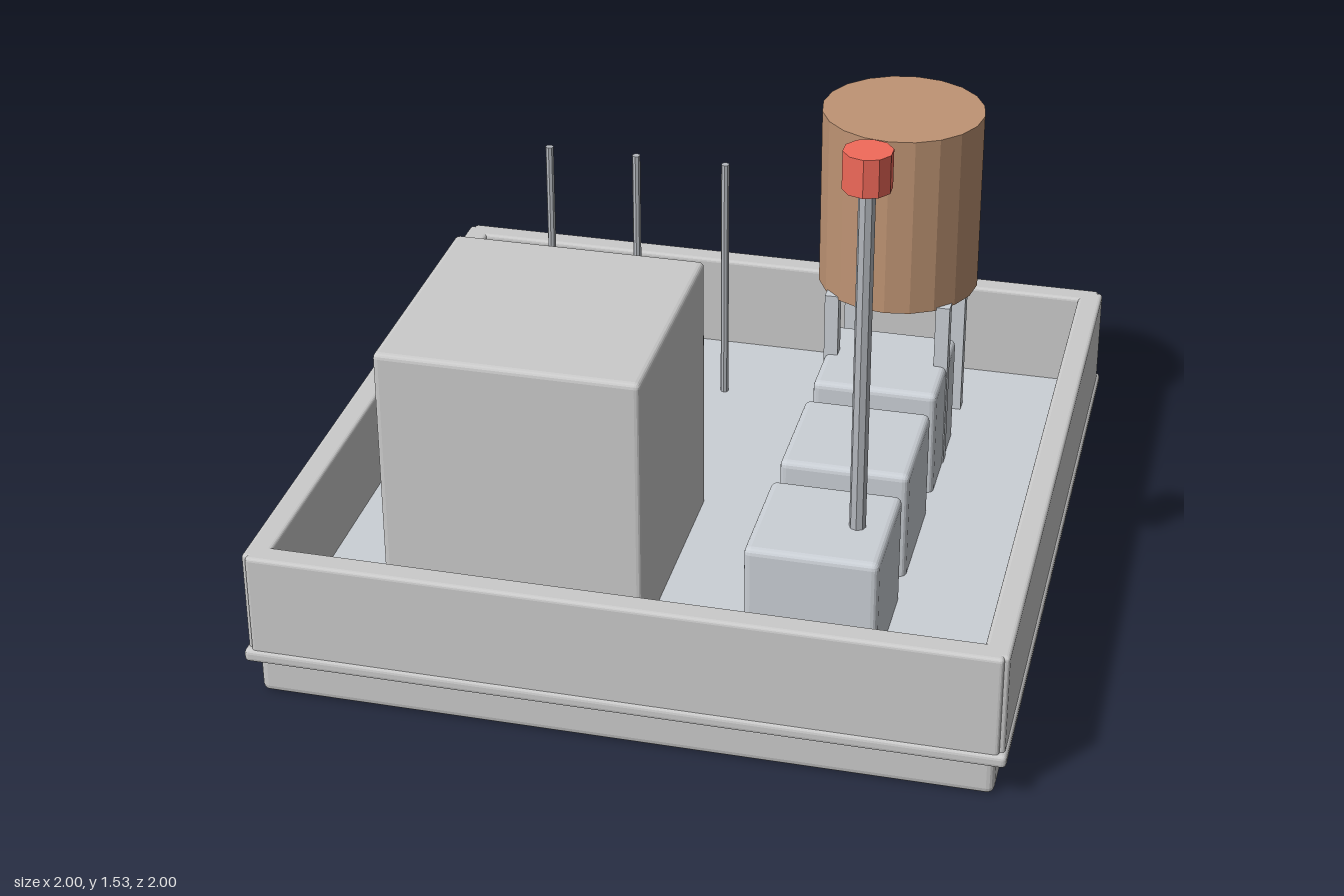
import * as THREE from 'three';
import { RoundedBoxGeometry } from 'three/addons/geometries/RoundedBoxGeometry.js';

const mat = (color) => new THREE.MeshStandardMaterial({ color, flatShading: true });
const grey = mat(0xcccccc), deckGrey = mat(0xcbd0d6), metal = mat(0xb4b8be);
const dark = mat(0x4e4e50), wood = mat(0xbf9474), red = mat(0xf26a5a);

export function createModel() {
  const model = new THREE.Group();
  const floorY = 0.145;

  const add = (name, geometry, material, x, y, z) => {
    const mesh = new THREE.Mesh(geometry, material);
    mesh.name = name;
    mesh.position.set(x, y, z);
    model.add(mesh);
  };
  // Boxes and cylinders are placed by their bottom and top heights
  const block = (name, w, d, y0, y1, x, z, material, bevel = 0) => {
    const h = y1 - y0;
    const geometry = bevel
      ? new RoundedBoxGeometry(w, h, d, 2, bevel)
      : new THREE.BoxGeometry(w, h, d);
    add(name, geometry, material, x, (y0 + y1) / 2, z);
  };
  const rod = (name, r, sides, y0, y1, x, z, material) =>
    add(name, new THREE.CylinderGeometry(r, r, y1 - y0, sides), material, x, (y0 + y1) / 2, z);

  // Roof slab, projecting trim and deck
  block('baseSlab', 1.94, 1.94, 0, 0.11, 0, 0, grey, 0.02);
  block('cornice', 2, 2, 0.108, 0.145, 0, 0, grey, 0.012);
  block('roofDeck', 1.86, 1.86, 0.12, floorY + 0.002, 0, 0, deckGrey);

  // Parapet walls, leaving a small notch at each outer corner
  for (const s of [-1, 1]) {
    block('parapetWall', 1.96, 0.068, 0.13, 0.427, 0, s * 0.959, grey, 0.01);
    block('parapetWall', 0.068, 1.96, 0.13, 0.427, s * 0.959, 0, grey, 0.01);
  }

  // Stair house with a door on its back
  block('stairHouse', 0.706, 0.706, floorY - 0.01, 0.905, -0.355, 0.353, grey, 0.015);
  block('stairDoor', 0.355, 0.05, floorY, 0.775, -0.355, -0.01, dark);

  // Row of ventilation units
  for (const z of [0.531, 0.087, -0.358])
    block('ventUnit', 0.352, 0.352, floorY - 0.015, 0.462, 0.442, z, deckGrey, 0.018);

  // Water tank on four legs
  rod('waterTank', 0.229, 20, 0.642, 1.17, 0.442, -0.533, wood);
  for (const sx of [-1, 1])
    for (const sz of [-1, 1])
      block('tankLeg', 0.04, 0.04, floorY, 0.65, 0.442 + sx * 0.159, -0.533 + sz * 0.159, deckGrey);

  // Beacon mast
  rod('mast', 0.022, 8, 0.45, 1.45, 0.53, 0.531, metal);
  rod('beacon', 0.063, 10, 1.43, 1.532, 0.53, 0.531, red);

  // Three thin aerials near the back
  for (const x of [-0.62, -0.357, -0.09])
    rod('aerial', 0.012, 8, floorY, 0.9, x, -0.622, metal);

  return model;
}
